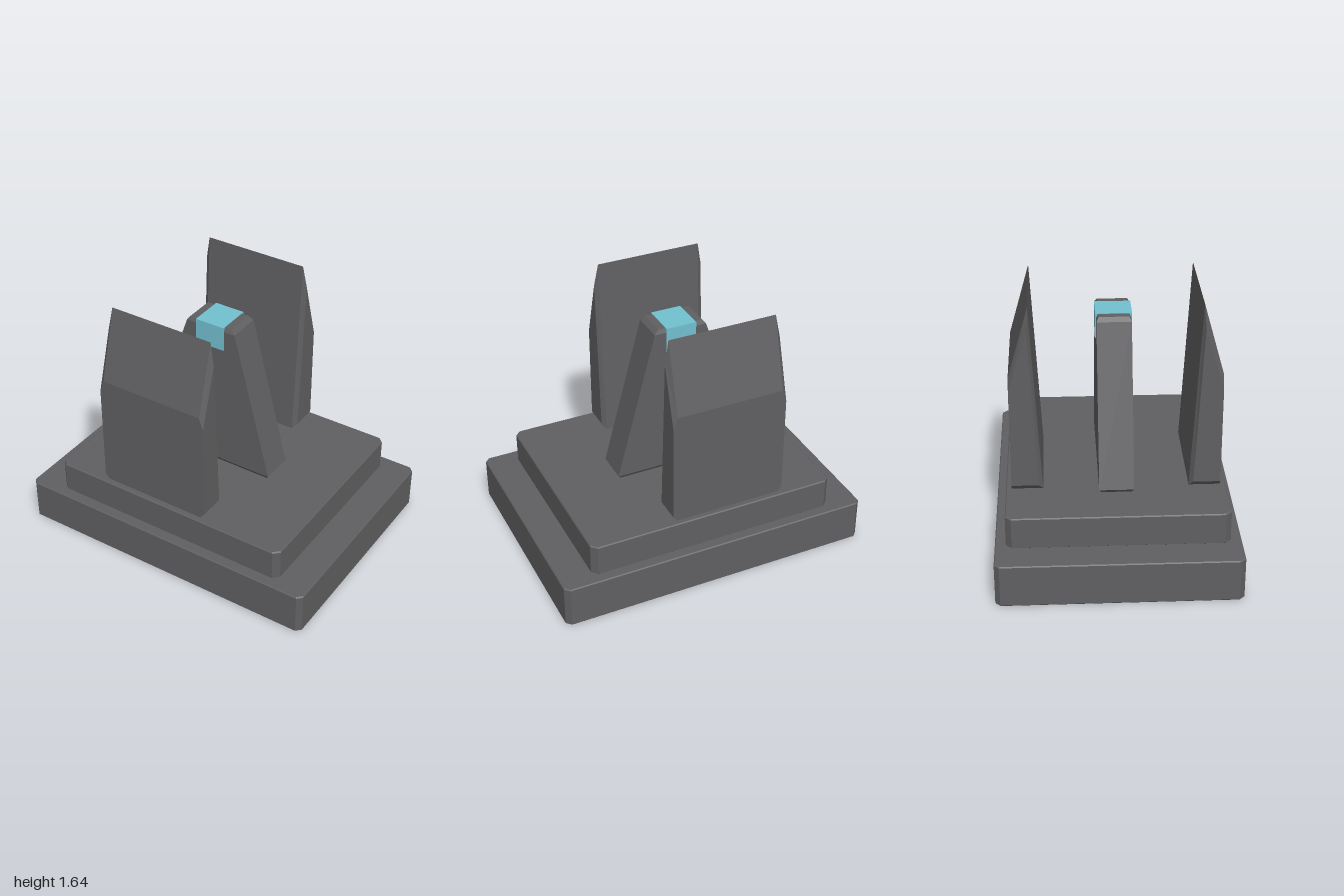
import * as THREE from 'three';

// Skin a stack of matching convex rings (counterclockwise from the far end) and cap both ends.
function loft(rings) {
  const pos = [];
  const tri = (...pts) => pts.forEach((p) => pos.push(...p));
  const n = rings[0].length;
  for (let r = 0; r < rings.length - 1; r++) {
    for (let i = 0; i < n; i++) {
      const j = (i + 1) % n;
      const [a, b, c, d] = [rings[r][i], rings[r][j], rings[r + 1][j], rings[r + 1][i]];
      tri(a, b, c);
      tri(a, c, d);
    }
  }
  const first = rings[0], last = rings[rings.length - 1];
  for (let i = 1; i < n - 1; i++) {
    tri(first[0], first[i + 1], first[i]);
    tri(last[0], last[i], last[i + 1]);
  }
  const geo = new THREE.BufferGeometry();
  geo.setAttribute('position', new THREE.Float32BufferAttribute(pos, 3));
  geo.computeVertexNormals();
  return geo;
}

// Horizontal rectangle with cut corners
const octagon = (x, z, c, y) => [
  [-x, y, z - c], [-x + c, y, z], [x - c, y, z], [x, y, z - c],
  [x, y, -z + c], [x - c, y, -z], [-x + c, y, -z], [-x, y, -z + c],
];

// Horizontal rectangle
const rect = (x0, x1, z, y) => [[x0, y, z], [x1, y, z], [x1, y, -z], [x0, y, -z]];

export function createModel() {
  const stone = new THREE.MeshStandardMaterial({ color: 0x606062 });
  stone.name = 'dark grey';
  const glow = new THREE.MeshStandardMaterial({ color: 0x72c0d0 });
  glow.name = 'pale cyan';

  const model = new THREE.Group();
  const add = (name, geo, mat) => {
    const mesh = new THREE.Mesh(geo, mat);
    mesh.name = name;
    model.add(mesh);
    return mesh;
  };

  // Two stacked slabs with slightly bevelled rims
  const slab = (x, z, c, y0, y1) => loft([
    octagon(x - 0.006, z - 0.006, c, y0), octagon(x, z, c, y0 + 0.006),
    octagon(x, z, c, y1 - 0.006), octagon(x - 0.006, z - 0.006, c, y1),
  ]);
  add('base', slab(1, 0.73, 0.03, 0, 0.27), stone);
  add('step', slab(0.8, 0.665, 0.035, 0.265, 0.467), stone);

  // Upright fins: [z, y] sections, smaller at both ends to chamfer the edges
  const endSection = [[0.63, 0.5], [0.465, 0.5], [0.515, 1.5], [0.63, 1.12]];
  const midSection = [[0.63, 0.466], [0.44, 0.466], [0.505, 1.645], [0.63, 1.2]];
  const at = (section, x) => section.map(([z, y]) => [x, y, z]);
  const finGeo = loft([
    at(endSection, -0.367), at(midSection, -0.34),
    at(midSection, 0.34), at(endSection, 0.367),
  ]);
  ['frontFin', 'backFin'].forEach((name, i) => {
    const fin = add(name, finGeo, stone);
    fin.position.x = -0.103;
    fin.rotation.y = i * Math.PI;
  });

  // Tapered centre pillar
  add('pillar', loft([
    rect(-0.51, 0.37, 0.09, 0.465), rect(-0.53, 0.39, 0.105, 0.49),
    rect(-0.2, 0.137, 0.105, 1.44), rect(-0.18, 0.11, 0.092, 1.466),
  ]), stone);

  // Light band wrapped over the pillar top
  const band = add('lightBand', new THREE.BoxGeometry(0.195, 0.158, 0.22), glow);
  band.position.set(-0.035, 1.389, 0);

  return model;
}
